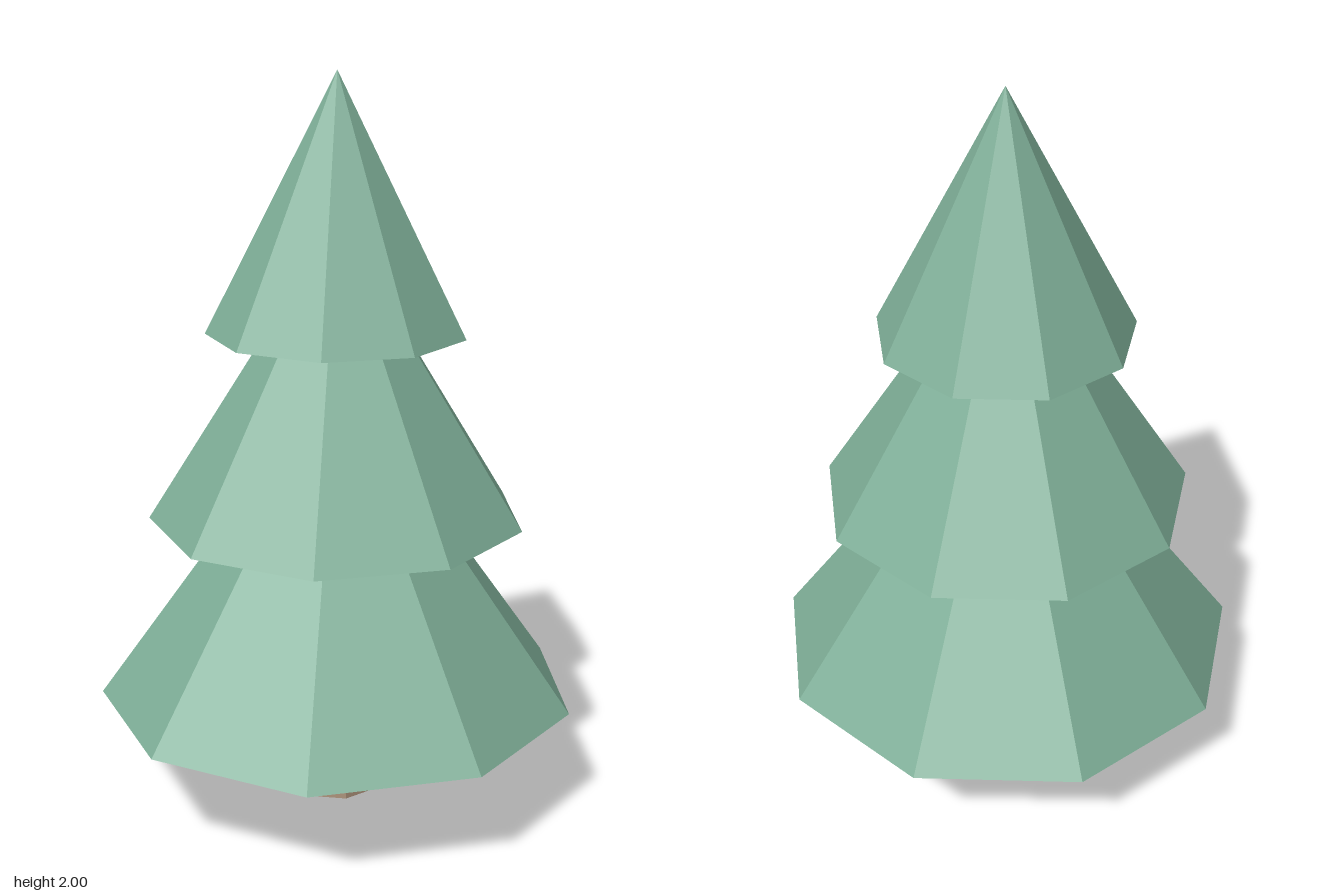
import * as THREE from 'three';

export function createModel() {
  const tree = new THREE.Group();
  tree.name = 'pineTree';

  const green = new THREE.MeshStandardMaterial({ name: 'needleGreen', color: 0x7eae97, flatShading: true });
  const brown = new THREE.MeshStandardMaterial({ name: 'barkBrown', color: 0xae947c, flatShading: true });
  const axisZ = 0.02;

  // Eight-sided trunk, reaching up into the lowest tier
  const trunk = new THREE.Mesh(new THREE.CylinderGeometry(0.108, 0.108, 0.4, 8), brown);
  trunk.name = 'trunk';
  trunk.position.set(0, 0.2, axisZ);
  tree.add(trunk);

  // Three stacked nine-sided cones, each with one corner pointing to the back
  const tiers = [
    { name: 'lowerBranches', radius: 0.657, base: 0.3, apex: 1.21 },
    { name: 'middleBranches', radius: 0.512, base: 0.81, apex: 1.62 },
    { name: 'topBranches', radius: 0.35, base: 1.32, apex: 2 },
  ];
  for (const { name, radius, base, apex } of tiers) {
    const cone = new THREE.ConeGeometry(radius, apex - base, 9, 1, false, Math.PI);
    const tier = new THREE.Mesh(cone, green);
    tier.name = name;
    tier.position.set(0, (base + apex) / 2, axisZ);
    tree.add(tier);
  }

  return tree;
}
